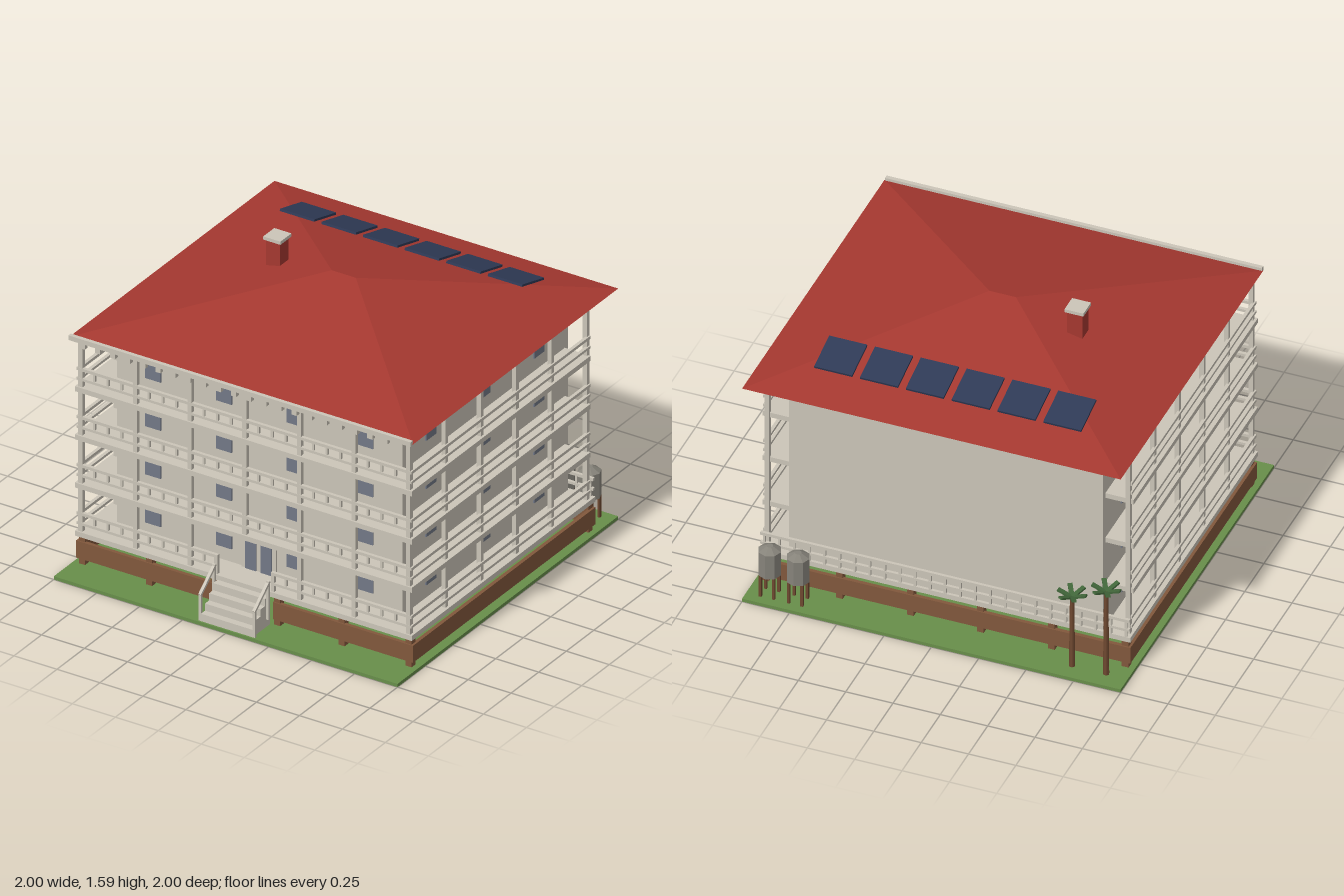
import * as THREE from 'three';

const mat = (name, color, extra = {}) => {
  const m = new THREE.MeshStandardMaterial({ color, ...extra });
  m.name = name;
  return m;
};

export function createModel() {
  const root = new THREE.Group();
  root.name = 'balconyBuilding';
  const stone = mat('stone', 0xcbc5b8);
  const red = mat('roofRed', 0xa53830);
  const grass = mat('grass', 0x688e4a);
  const wood = mat('wood', 0x82583c);
  const glass = mat('glass', 0x727886);
  const solar = mat('solarBlue', 0x2f3a56);
  const metal = mat('tankGrey', 0x86837a, { flatShading: true });
  const bark = mat('bark', 0x6e4830, { flatShading: true });
  const leaf = mat('leaf', 0x41663a);

  const add = (name, geo, material, parent = root) => {
    const m = new THREE.Mesh(geo, material);
    m.name = name;
    parent.add(m);
    return m;
  };
  // Box given by its limits on each axis
  const box = (name, x0, x1, y0, y1, z0, z1, material, parent = root) => {
    const m = add(name, new THREE.BoxGeometry(x1 - x0, y1 - y0, z1 - z0), material, parent);
    m.position.set((x0 + x1) / 2, (y0 + y1) / 2, (z0 + z1) / 2);
    return m;
  };
  // Box centred on x and z, standing between two heights
  const post = (name, x, z, w, y0, y1, material, parent = root) =>
    box(name, x - w / 2, x + w / 2, y0, y1, z - w / 2, z + w / 2, material, parent);
  const group = (name) => {
    const g = new THREE.Group();
    g.name = name;
    root.add(g);
    return g;
  };

  box('ground', -1, 1, 0, 0.018, -1, 1, grass);
  box('walls', -0.83, 0.83, 0.18, 1.294, -0.81, 0.69, stone);

  // Raised base: timber skirt and piers
  const base = group('base');
  for (const s of [-1, 1]) {
    const [a, b] = s < 0 ? [-0.98, -0.165] : [0.165, 0.98];
    box('frontSkirt', a, b, 0.05, 0.145, 0.81, 0.83, wood, base);
    box('sideSkirt', s * 0.97 - 0.01, s * 0.97 + 0.01, 0.05, 0.145, -0.82, 0.83, wood, base);
    for (const x of [0.185, 0.56, 0.95])
      for (const z of [0.805, -0.8]) post('pier', s * x, z, 0.036, 0.018, 0.18, wood, base);
  }
  box('backSkirt', -0.98, 0.98, 0.05, 0.145, -0.825, -0.805, wood, base);

  // Balcony decks, rails, balusters and windows, floor by floor
  const pitch = 0.27;
  for (let f = 0; f < 4; f++) {
    const g = group('floor' + (f + 1));
    const top = 0.205 + f * pitch;
    box('deck', -0.98, 0.98, top - 0.028, top, f ? -0.78 : -0.825, 0.84, stone, g);
    for (const [lo, hi] of [[0.036, 0.05], [0.09, 0.106]]) {
      for (const s of [-1, 1])
        box('sideRail', s * 0.965 - 0.009, s * 0.965 + 0.009, top + lo, top + hi, -0.79, 0.83, stone, g);
      if (f) box('frontRail', -0.975, 0.975, top + lo, top + hi, 0.815, 0.833, stone, g);
      else {
        box('frontRail', -0.975, -0.16, top + lo, top + hi, 0.815, 0.833, stone, g);
        box('frontRail', 0.16, 0.975, top + lo, top + hi, 0.815, 0.833, stone, g);
        box('backRail', -0.975, 0.975, top + lo, top + hi, -0.826, -0.81, stone, g);
      }
    }
    for (let i = -12; i <= 12; i++) {
      const x = i * 0.0796;
      if (f || Math.abs(x) > 0.165) post('baluster', x, 0.824, 0.012, top + 0.04, top + 0.1, stone, g);
      if (!f) post('backBaluster', x, -0.818, 0.012, top, top + 0.1, stone, g);
    }
    const y = 0.28 + f * pitch;
    for (const x of [-0.617, -0.205, 0.205, 0.617])
      box('frontWindow', x - 0.045, x + 0.045, y, y + 0.17, 0.69, 0.698, glass, g);
    for (const z of [0.44, -0.047, -0.538])
      for (const s of [-1, 1])
        box('sideWindow', s * 0.834 - 0.004, s * 0.834 + 0.004, y, y + 0.17, z - 0.046, z + 0.046, glass, g);
  }

  // Balcony columns along the front and both sides
  const columns = group('columns');
  for (let i = -3; i <= 3; i++)
    post('frontColumn', i * 0.318, 0.82, 0.024, i ? 0.2 : 0.475, 1.295, stone, columns);
  for (let i = 1; i <= 5; i++)
    for (const s of [-1, 1])
      post('sideColumn', s * 0.954, 0.82 - i * 0.32, 0.024, 0.2, 1.295, stone, columns);

  // Double door with frame
  const door = group('door');
  box('doorFrame', -0.1, 0.1, 0.2, 0.487, 0.69, 0.7, stone, door);
  for (const s of [-1, 1])
    box('doorLeaf', s * 0.045 - 0.032, s * 0.045 + 0.032, 0.205, 0.45, 0.699, 0.706, glass, door);

  // Entrance steps with sloping handrails
  const stairs = group('stairs');
  for (let i = 0; i < 4; i++)
    box('step', -0.15, 0.15, 0.018, 0.06 + i * 0.04, 0.83, 0.99 - i * 0.037, stone, stairs);
  for (const s of [-1, 1]) {
    const x = s * 0.157;
    post('lowerNewel', x, 0.982, 0.014, 0.018, 0.165, stone, stairs);
    post('upperNewel', x, 0.86, 0.014, 0.06, 0.275, stone, stairs);
    post('gatePost', s * 0.165, 0.824, 0.018, 0.2, 0.311, stone, stairs);
    const rail = add('handrail', new THREE.BoxGeometry(0.016, 0.014, Math.hypot(0.135, 0.11)), stone, stairs);
    rail.position.set(x, 0.216, 0.921);
    rail.rotation.x = Math.atan2(0.11, 0.135);
  }

  // Hipped roof with a short ridge and a closed underside
  const A = [-1, 1.295, 0.86], B = [1, 1.295, 0.86], C = [1, 1.295, -1], D = [-1, 1.295, -1];
  const L = [-0.07, 1.512, -0.07], R = [0.07, 1.512, -0.07];
  const faces = [A, B, R, A, R, L, B, C, R, C, D, L, C, L, R, D, A, L, A, D, C, A, C, B];
  const roofGeo = new THREE.BufferGeometry();
  roofGeo.setAttribute('position', new THREE.Float32BufferAttribute(faces.flat(), 3));
  roofGeo.computeVertexNormals();
  add('roof', roofGeo, red);
  box('fascia', -0.995, 0.995, 1.286, 1.312, 0.853, 0.875, stone);
  const brackets = group('eaveBrackets');
  for (let i = 0; i < 22; i++) {
    const x = -0.924 + i * 0.088;
    box('bracket', x - 0.015, x + 0.015, 1.25, 1.29, 0.835, 0.86, stone, brackets);
  }

  // Chimney
  post('chimney', -0.415, -0.115, 0.08, 1.36, 1.57, red);
  post('chimneyCap', -0.415, -0.115, 0.1, 1.567, 1.585, stone);

  // Solar panels on the back slope
  const panels = group('solarPanels');
  for (let i = 0; i < 6; i++) {
    const p = add('solarPanel', new THREE.BoxGeometry(0.2, 0.012, 0.204), solar, panels);
    p.position.set(-0.605 + i * 0.242, 1.388, -0.688);
    p.rotation.x = -0.265;
  }

  // Water tanks on legs
  for (const x of [0.74, 0.89]) {
    const g = group('waterTank');
    g.position.set(x, 0, -0.91);
    add('tankBody', new THREE.CylinderGeometry(0.06, 0.06, 0.14, 8), metal, g).position.y = 0.215;
    add('tankTop', new THREE.CylinderGeometry(0.018, 0.06, 0.025, 8), metal, g).position.y = 0.297;
    for (const sx of [-1, 1])
      for (const sz of [-1, 1]) post('tankLeg', sx * 0.035, sz * 0.035, 0.014, 0.015, 0.15, bark, g);
  }

  // Palms with fronds rising outward
  for (const [x, h] of [[-0.885, 0.52], [-0.705, 0.44]]) {
    const g = group('palm');
    g.position.set(x, 0, -0.905);
    add('trunk', new THREE.CylinderGeometry(0.011, 0.016, h, 7), bark, g).position.y = h / 2;
    for (let i = 0; i < 6; i++) {
      const pivot = new THREE.Group();
      pivot.name = 'frondPivot';
      pivot.position.y = h - 0.005;
      pivot.rotation.y = (i * Math.PI) / 3;
      g.add(pivot);
      const frond = add('frond', new THREE.BoxGeometry(0.08, 0.01, 0.024), leaf, pivot);
      frond.position.set(0.038, 0.013, 0);
      frond.rotation.z = 0.35;
    }
  }
  return root;
}
